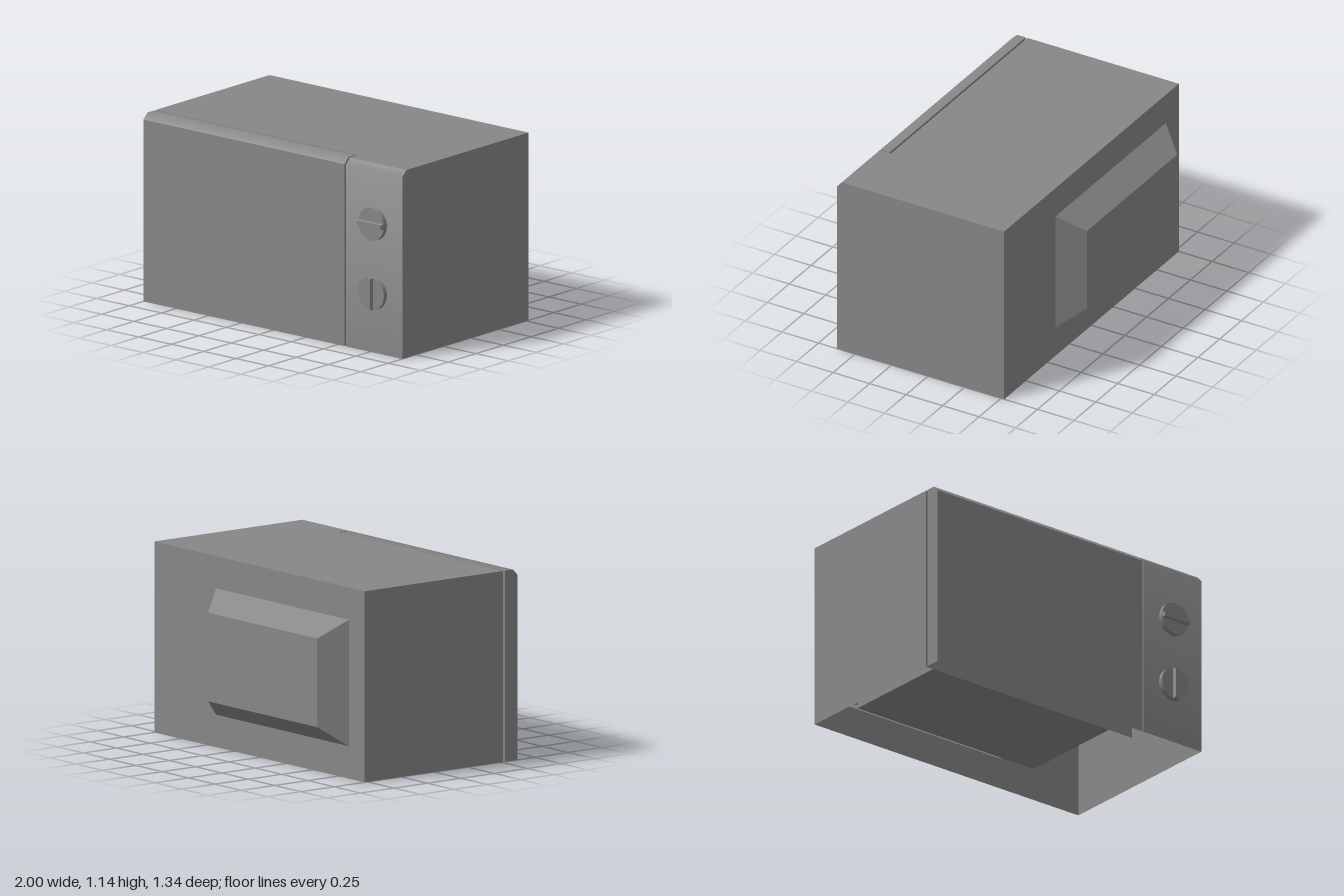
import * as THREE from 'three';

const material = new THREE.MeshStandardMaterial({ color: 0x878787, side: THREE.DoubleSide });

const BACK = -0.522, FACE = 0.514, FRONT = 0.622; // z planes of the casing
const H = 1.143, CH = 0.036;                      // height and top chamfer
const STEP = 0.563;                               // x where the control panel begins
const DOOR_BACK = 0.527, DOOR_EDGE = 0.552;       // rear plane and free edge of the door

function shapeOf(points) {
  return new THREE.Shape(points.map(([x, y]) => new THREE.Vector2(x, y)));
}

function rect(x0, y0, x1, y1) {
  return [[x0, y0], [x1, y0], [x1, y1], [x0, y1]];
}

// Outline in (z, y) from a rear plane to the chamfered front
function chamfered(z0) {
  return [[z0, 0], [FRONT, 0], [FRONT, H - CH], [FRONT - CH, H], [z0, H]];
}

// Flat quads, each given by four corners in counter-clockwise order
function quads(list) {
  const pos = [];
  for (const [a, b, c, d] of list) pos.push(...a, ...b, ...c, ...a, ...c, ...d);
  const g = new THREE.BufferGeometry();
  g.setAttribute('position', new THREE.Float32BufferAttribute(pos, 3));
  g.computeVertexNormals();
  return g;
}

// Smooth strip from x0 to x1 through rows of [y, z, upward tilt of the normal in degrees]
function strip(x0, x1, rows) {
  const g = new THREE.PlaneGeometry(1, 1, 1, rows.length - 1);
  rows.forEach(([y, z, tilt], r) => {
    const t = THREE.MathUtils.degToRad(tilt);
    [x0, x1].forEach((x, c) => {
      g.attributes.position.setXYZ(2 * r + c, x, y, z);
      g.attributes.normal.setXYZ(2 * r + c, 0, Math.sin(t), Math.cos(t));
    });
  });
  return g;
}

export function createModel() {
  const model = new THREE.Group();
  model.name = 'microwaveOven';

  function add(name, geometry, parent = model) {
    const mesh = new THREE.Mesh(geometry, material);
    mesh.name = name;
    parent.add(mesh);
    return mesh;
  }

  // Side wall from a (z, y) outline, facing +x or -x
  function sideWall(name, x, points, dir, parent) {
    const g = new THREE.ShapeGeometry(shapeOf(points.map(([z, y]) => [-dir * z, y])));
    add(name, g.rotateY(dir * Math.PI / 2).translate(x, 0, 0), parent);
  }

  // Casing: open underneath, stepped at the control panel
  sideWall('leftWall', 1, chamfered(BACK), 1);
  sideWall('rightWall', -1, rect(BACK, 0, FACE, H), -1);
  sideWall('panelInnerWall', STEP, chamfered(FACE), -1);

  const topOutline = [[-1, BACK], [1, BACK], [1, FRONT - CH], [STEP, FRONT - CH], [STEP, FACE], [-1, FACE]];
  add('topWall', new THREE.ShapeGeometry(shapeOf(topOutline.map(([x, z]) => [x, -z])))
    .rotateX(-Math.PI / 2).translate(0, H, 0));

  // Control panel front blending smoothly into its chamfer
  add('controlPanel', strip(STEP, 1, [[H, FRONT - CH, 45], [H - CH, FRONT, 22.5], [0, FRONT, 0]]));

  // Cooking chamber behind an opening in the front frame
  const cav = { x0: -0.88, x1: 0.455, y0: 0.05, y1: 1.06, z0: -0.27 };
  const frame = shapeOf(rect(-1, 0, STEP, H));
  frame.holes.push(shapeOf(rect(cav.x0, cav.y0, cav.x1, cav.y1)));
  add('frontFrame', new THREE.ShapeGeometry(frame).translate(0, 0, FACE));

  const chamber = new THREE.BoxGeometry(cav.x1 - cav.x0, cav.y1 - cav.y0, FACE - cav.z0);
  chamber.translate((cav.x0 + cav.x1) / 2, (cav.y0 + cav.y1) / 2, (FACE + cav.z0) / 2);
  // leave its front side open
  chamber.setIndex([...chamber.index.array].filter((_, i) => i < 24 || i >= 30));
  add('cookingChamber', chamber);

  // Back wall with a tapered hollow bulge
  const base = rect(-0.85, 0.194, 0.412, 0.95);
  const tip = rect(-0.735, 0.308, 0.3, 0.838);
  const back = shapeOf(rect(-1, 0, 1, H));
  back.holes.push(shapeOf(base.map(([x, y]) => [-x, y])));
  add('backWall', new THREE.ShapeGeometry(back).rotateY(Math.PI).translate(0, 0, BACK));

  const outer = base.map(([x, y]) => [x, y, BACK]);
  const inner = tip.map(([x, y]) => [x, y, -0.67]);
  const bulge = outer.map((a, i) => {
    const j = (i + 1) % 4;
    return [a, inner[i], inner[j], outer[j]];
  });
  bulge.push([...inner].reverse());
  add('backBulge', quads(bulge));

  // Door: hollow shell open underneath, its top rolling smoothly into the chamfer
  const door = new THREE.Group();
  door.name = 'door';
  model.add(door);
  add('doorFront', strip(-1, DOOR_EDGE, [[H - CH, FRONT, 0], [0, FRONT, 0]]), door);
  add('doorTop', strip(-1, DOOR_EDGE,
    [[H, DOOR_BACK, 90], [H, FRONT - CH, 67.5], [H - CH, FRONT, 45]]), door);
  add('doorBack', new THREE.ShapeGeometry(shapeOf(rect(-DOOR_EDGE, 0, 1, H)))
    .rotateY(Math.PI).translate(0, 0, DOOR_BACK), door);
  sideWall('doorHingeEnd', -1, chamfered(DOOR_BACK), -1, door);
  sideWall('doorFreeEnd', DOOR_EDGE, chamfered(DOOR_BACK), 1, door);

  // Door latches and hinges bridging the gap
  for (const y of [0.28, 0.86]) {
    const latch = new THREE.Group();
    latch.name = 'doorLatch';
    latch.position.set(0.475, y, 0);
    add('latchArm', new THREE.BoxGeometry(0.02, 0.03, 0.08).translate(0, 0, 0.49), latch);
    add('latchHook', new THREE.BoxGeometry(0.02, 0.045, 0.025).translate(0, -0.008, 0.46), latch);
    model.add(latch);

    const hinge = add('doorHinge', new THREE.BoxGeometry(0.008, 0.08, 0.03));
    hinge.position.set(-0.9, y, 0.52);
    hinge.rotation.y = -Math.PI / 4;
  }

  // Knobs: a disc with a tapered grip bar
  function knob(name, y, turn) {
    const g = new THREE.Group();
    g.name = name;
    g.position.set(0.78, y, FRONT);
    g.rotation.z = turn;
    add('knobDisc', new THREE.CylinderGeometry(0.1, 0.1, 0.028, 40)
      .rotateX(Math.PI / 2).translate(0, 0, 0.014), g);
    const bar = new THREE.BoxGeometry(0.196, 0.034, 0.02);
    const v = bar.attributes.position;
    for (let i = 0; i < v.count; i++) {
      if (v.getZ(i) > 0) v.setXY(i, v.getX(i) * 0.95, v.getY(i) * 0.7);
    }
    bar.computeVertexNormals();
    add('knobGrip', bar.translate(0, 0, 0.038), g);
    model.add(g);
  }
  knob('upperKnob', 0.787, 0);
  knob('lowerKnob', 0.365, Math.PI / 2);

  return model;
}
